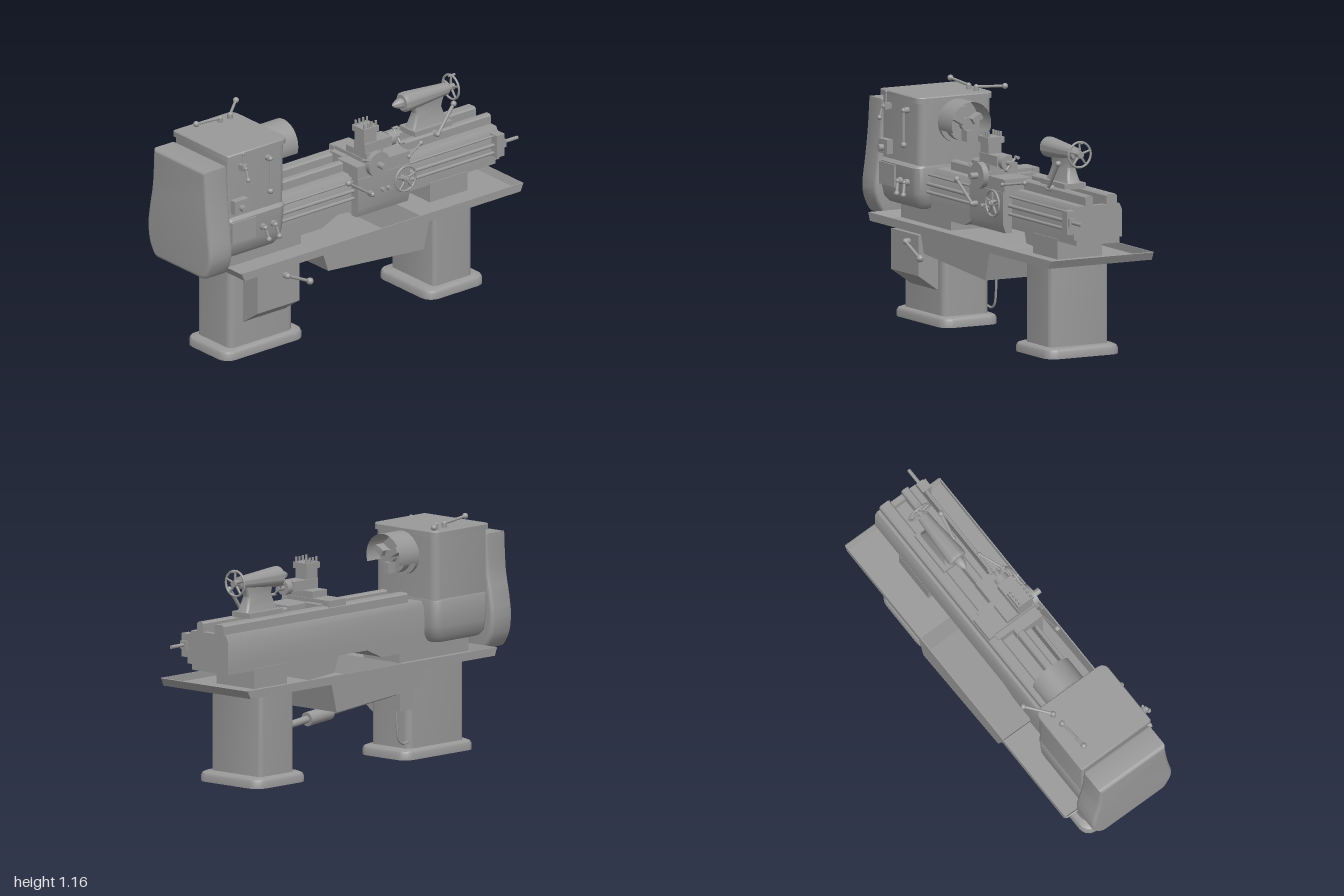
import * as THREE from 'three';
import { toCreasedNormals } from 'three/addons/utils/BufferGeometryUtils.js';

const V = (p) => new THREE.Vector3(...p);
const paint = new THREE.MeshStandardMaterial({ color: 0x999999 });
const sheet = new THREE.MeshStandardMaterial({ color: 0x999999, side: THREE.DoubleSide });

export function createModel() {
  const model = new THREE.Group();
  const add = (name, geo, mat = paint) => {
    const m = new THREE.Mesh(geo, mat);
    m.name = name;
    model.add(m);
    return m;
  };
  // box given by its limits
  const box = (name, x0, x1, y0, y1, z0, z1) =>
    add(name, new THREE.BoxGeometry(x1 - x0, y1 - y0, z1 - z0)
      .translate((x0 + x1) / 2, (y0 + y1) / 2, (z0 + z1) / 2));
  // round bar between two points
  const rod = (name, a, b, r, n = 20) => {
    const d = V(b).sub(V(a));
    const m = add(name, new THREE.CylinderGeometry(r, r, d.length(), n));
    m.position.copy(V(a)).addScaledVector(d, 0.5);
    m.quaternion.setFromUnitVectors(new THREE.Vector3(0, 1, 0), d.normalize());
  };
  const ball = (name, p, r) => add(name, new THREE.SphereGeometry(r, 16, 12).translate(...p));
  const lever = (name, a, b, r = 0.007, knob = 0.015) => {
    rod(name, a, b, r);
    ball(name + 'Hub', a, knob * 0.85);
    ball(name + 'Knob', b, knob);
  };
  // [z, y] profile swept along x
  const prismX = (name, pts, x0, x1, bevel = 0) => {
    const s = new THREE.Shape(pts.map(([z, y]) => new THREE.Vector2(-z, y)));
    const g = new THREE.ExtrudeGeometry(s, { depth: x1 - x0 - 2 * bevel, bevelEnabled: bevel > 0,
      bevelSize: bevel, bevelThickness: bevel, bevelOffset: -bevel, bevelSegments: 5 });
    add(name, toCreasedNormals(g.rotateY(Math.PI / 2).translate(x0 + bevel, 0, 0), 0.6));
  };
  // [x, y] profile swept along z
  const prismZ = (name, pts, z0, z1) => {
    const s = new THREE.Shape(pts.map(([x, y]) => new THREE.Vector2(x, y)));
    add(name, new THREE.ExtrudeGeometry(s, { depth: z1 - z0, bevelEnabled: false }).translate(0, 0, z0));
  };
  // stacked rounded rectangles: rows of [y, x0, x1, z0, z1, right corner radius, left corner radius]
  const loft = (name, rows) => {
    const pos = [], idx = [], k = 6, n = k * 4;
    for (const [y, x0, x1, z0, z1, rr, rl = rr] of rows)
      for (let c = 0; c < 4; c++)
        for (let i = 0; i < k; i++) {
          const a = (c + i / (k - 1)) * Math.PI / 2, right = c === 0 || c === 3, r = right ? rr : rl;
          const cx = right ? x1 - r : x0 + r, cz = c < 2 ? z1 - r : z0 + r;
          pos.push(cx + r * Math.cos(a), y, cz + r * Math.sin(a));
        }
    const top = (rows.length - 1) * n;
    for (let i = 0; i < rows.length - 1; i++)
      for (let j = 0; j < n; j++) {
        const a = i * n + j, b = i * n + (j + 1) % n;
        idx.push(a, a + n, b, b, a + n, b + n);
      }
    for (let j = 1; j < n - 1; j++) idx.push(0, j, j + 1, top, top + j + 1, top + j);
    const g = new THREE.BufferGeometry();
    g.setAttribute('position', new THREE.Float32BufferAttribute(pos, 3));
    g.setIndex(idx);
    add(name, toCreasedNormals(g, 0.65));
  };
  // five-spoked handwheel, axis along z, or along x when sideways
  const wheel = (name, p, r, sideways) => {
    const g = new THREE.Group();
    g.name = name;
    g.add(new THREE.Mesh(new THREE.TorusGeometry(r - 0.006, 0.006, 10, 36), paint));
    g.add(new THREE.Mesh(new THREE.CylinderGeometry(0.017, 0.017, 0.03, 18).rotateX(Math.PI / 2), paint));
    for (let i = 0; i < 5; i++) {
      const s = new THREE.Mesh(new THREE.CylinderGeometry(0.005, 0.007, r - 0.01, 8).translate(0, r / 2, 0), paint);
      s.rotation.z = i * 2 * Math.PI / 5;
      g.add(s);
    }
    g.children.forEach((m, i) => { m.name = name + (i ? 'Part' + i : 'Rim'); });
    g.position.set(...p);
    if (sideways) g.rotation.y = Math.PI / 2;
    model.add(g);
  };

  // pedestals with rounded feet; the left one is shallower
  for (const [name, x0, x1, f0, f1, z, f, r] of [['left', -0.785, -0.385, -0.835, -0.33, 0.13, 0.16, 0.035],
    ['right', 0.465, 0.71, 0.405, 0.77, 0.165, 0.205, 0.025]]) {
    loft(name + 'Pedestal', [[0.03, x0, x1, -z, z, r], [0.48, x0, x1, -z, z, r]]);
    loft(name + 'Foot', [[0, f0, f1, -f, f, 0.06], [0.03, f0, f1, -f, f, 0.06],
      [0.042, f0 + 0.006, f1 - 0.006, 0.006 - f, f - 0.006, 0.055],
      [0.05, f0 + 0.022, f1 - 0.022, 0.022 - f, f - 0.022, 0.05]]);
  }
  prismX('frontCabinet', [[0.1, 0.45], [0.24, 0.45], [0.24, 0.25], [0.12, 0.165], [0.1, 0.165]], -0.705, -0.44);

  // chip tray with a sump in the middle
  const floor = [[-0.825, 0.48], [-0.33, 0.48], [-0.3, 0.39], [0.3, 0.34], [0.335, 0.48], [0.91, 0.48]];
  const under = floor.map(([x, y]) => [x, y - 0.006]);
  prismZ('trayFloor', [[-0.84, 0.515], ...floor, [0.925, 0.515], [0.93, 0.513], ...[...under].reverse(),
    [-0.845, 0.513]], -0.287, 0.287);
  for (const z of [-0.29, 0.284]) prismZ('traySide', [[-0.842, 0.515], ...under, [0.927, 0.515]], z, z + 0.006);

  // bed casting, ways and riser
  box('rightRiser', 0.475, 0.71, 0.475, 0.58, -0.125, 0.125);
  prismZ('bedWeb', [[-0.82, 0.48], [-0.33, 0.48], [-0.33, 0.525], [-0.2, 0.525], [-0.1, 0.57], [0.89, 0.57],
    [0.89, 0.7], [-0.82, 0.7]], -0.12, 0.12);
  prismX('bedBody', [[0.14, 0.6], [0.14, 0.725], [0.115, 0.765], [0.04, 0.765], [0.04, 0.72], [-0.04, 0.72],
    [-0.04, 0.765], [-0.115, 0.765], [-0.128, 0.735], [-0.128, 0.6]], -0.5, 0.9);
  for (const [z0, z1] of [[-0.1, -0.04], [0.035, 0.075]])
    prismX('bedWay', [[z0, 0.76], [z0, 0.805], [z0 + 0.008, 0.813], [z1 - 0.008, 0.813], [z1, 0.805], [z1, 0.76]], -0.41, 0.9);
  box('bedEndBlock', 0.87, 0.9, 0.6, 0.765, -0.115, 0.115);
  rod('leadScrew', [-0.51, 0.69, 0.155], [1, 0.69, 0.155], 0.009);
  rod('feedRod', [-0.51, 0.65, 0.155], [0.88, 0.65, 0.155], 0.008);
  rod('controlRod', [-0.51, 0.735, 0.15], [0.88, 0.735, 0.15], 0.006);
  box('rodBracket', 0.85, 0.9, 0.63, 0.745, 0.12, 0.18);
  box('rodBracketLug', 0.89, 0.915, 0.67, 0.71, 0.135, 0.175);

  // headstock, lower gearbox and end cover
  loft('headstock', [[0.74, -0.855, -0.495, -0.205, 0.2, 0.04, 0.01], [1.09, -0.855, -0.49, -0.205, 0.2, 0.04, 0.01]]);
  loft('headstockLid', [[1.085, -0.865, -0.485, -0.213, 0.213, 0.04, 0.01], [1.11, -0.865, -0.485, -0.213, 0.213, 0.04, 0.01],
    [1.115, -0.861, -0.489, -0.209, 0.209, 0.036, 0.008]]);
  loft('gearbox', [[0.555, -0.855, -0.56, -0.15, 0.15, 0.03], [0.565, -0.855, -0.53, -0.18, 0.18, 0.04],
    [0.59, -0.857, -0.51, -0.198, 0.2, 0.05, 0.02], [0.64, -0.857, -0.5, -0.208, 0.212, 0.05, 0.02],
    [0.765, -0.857, -0.492, -0.212, 0.218, 0.05, 0.02], [0.78, -0.855, -0.495, -0.204, 0.2, 0.045, 0.01]]);
  const curve = (pts) => new THREE.SplineCurve(pts.map((p) => new THREE.Vector2(...p))).getPoints(24).map((p) => [p.x, p.y]);
  const coverFront = curve([[0.2, 1.06], [0.21, 0.9], [0.225, 0.76], [0.24, 0.64], [0.232, 0.57], [0.2, 0.505], [0.17, 0.49]]);
  const coverBack = curve([[-0.2, 1.06], [-0.21, 0.88], [-0.232, 0.76], [-0.245, 0.66], [-0.235, 0.57], [-0.2, 0.505], [-0.17, 0.49]]);
  prismX('endCover', [...coverFront, ...coverBack.reverse()], -1, -0.855, 0.02);

  // spindle, chuck and curved guard
  rod('spindleFlange', [-0.495, 0.985, 0], [-0.474, 0.985, 0], 0.1, 40);
  rod('spindleNose', [-0.48, 0.985, 0], [-0.44, 0.985, 0], 0.06, 32);
  rod('chuckPlate', [-0.45, 0.985, 0], [-0.41, 0.985, 0], 0.085, 32);
  rod('chuckHub', [-0.41, 0.985, 0], [-0.385, 0.985, 0], 0.03, 24);
  for (let i = 0; i < 3; i++) {
    const jaw = add('chuckJaw', new THREE.BoxGeometry(0.06, 0.055, 0.03).translate(-0.39, 0.055, 0));
    jaw.position.y = 0.985;
    jaw.rotation.x = Math.PI + i * 2 * Math.PI / 3;
  }
  const deg = Math.PI / 180;
  const guard = new THREE.CylinderGeometry(0.11, 0.11, 0.135, 40, 1, true, -200 * deg, 219 * deg);
  add('chuckGuard', guard.rotateZ(-Math.PI / 2).translate(-0.4075, 0.99, 0), sheet);
  const ring = new THREE.RingGeometry(0.07, 0.11, 40, 1, -20 * deg, 219 * deg);
  add('guardBack', ring.rotateY(Math.PI / 2).translate(-0.472, 0.99, 0), sheet);

  // headstock controls
  for (const [a, b] of [[[-0.62, 1.135, -0.145], [-0.78, 1.15, -0.135]], [[-0.555, 1.135, -0.15], [-0.44, 1.147, -0.245]]]) {
    rod('topLeverPost', [a[0], 1.11, a[2]], a, 0.014);
    lever('topLever', a, b);
  }
  rod('speedLeverPost', [-0.61, 1.04, 0.19], [-0.61, 1.04, 0.225], 0.015);
  lever('speedLever', [-0.61, 1.04, 0.225], [-0.61, 0.87, 0.225], 0.008);
  rod('clutchPost', [-0.78, 1.04, 0.19], [-0.78, 1.04, 0.25], 0.013);
  box('clutchBlock', -0.795, -0.765, 1.025, 1.055, 0.205, 0.24);
  lever('clutchLever', [-0.78, 1.11, 0.225], [-0.78, 1.04, 0.225], 0.004, 0.008);
  lever('clutchHandle', [-0.78, 1.04, 0.245], [-0.78, 0.985, 0.262], 0.006, 0.012);
  box('switchPlate', -0.84, -0.755, 0.805, 0.875, 0.19, 0.235);
  rod('switchKnob', [-0.797, 0.835, 0.23], [-0.797, 0.835, 0.26], 0.016);
  box('chartPlate', -0.85, -0.7, 0.65, 0.76, 0.2, 0.226);
  for (const x of [-0.65, -0.585]) {
    rod('feedLeverPost', [x, 0.69, 0.2], [x, 0.69, 0.235], 0.017);
    lever('feedLever', [x, 0.69, 0.235], [x + 0.012, 0.63, 0.248], 0.008, 0.014);
  }

  // carriage: saddle, apron and cross slide
  box('saddle', -0.03, 0.3, 0.755, 0.82, 0.03, 0.185);
  box('saddleBridge', 0.0, 0.18, 0.765, 0.822, -0.06, 0.04);
  prismX('apron', [[0.14, 0.555], [0.175, 0.555], [0.19, 0.6], [0.19, 0.757], [0.14, 0.757]], -0.03, 0.295);
  box('crossSlideWay', 0.03, 0.145, 0.8, 0.84, -0.097, 0.19);
  box('crossSlideEnd', 0.025, 0.15, 0.765, 0.838, -0.097, -0.06);
  box('crossSlide', 0.035, 0.14, 0.835, 0.872, 0.02, 0.175);
  rod('crossDial', [0.085, 0.815, 0.185], [0.085, 0.815, 0.215], 0.065, 36);
  rod('crossHub', [0.085, 0.815, 0.21], [0.085, 0.815, 0.255], 0.016);
  rod('crossHandle', [0.03, 0.845, 0.2], [-0.012, 0.86, 0.2], 0.006);
  wheel('apronHandwheel', [0.245, 0.7, 0.22], 0.07, false);
  rod('apronShaft', [0.245, 0.7, 0.18], [0.245, 0.7, 0.245], 0.012);
  rod('apronLeverPost', [0.04, 0.67, 0.18], [0.04, 0.67, 0.215], 0.014);
  lever('apronLever', [0.04, 0.67, 0.215], [-0.11, 0.77, 0.215]);
  lever('lockLever', [0.29, 0.795, 0.19], [0.41, 0.815, 0.135], 0.006, 0.012);
  for (const x of [0.12, 0.155]) rod('apronButton', [x, 0.67, 0.185], [x, 0.67, 0.215], 0.011);

  // compound slide and tool post
  box('compoundSlide', 0.03, 0.2, 0.87, 0.92, 0.085, 0.17);
  rod('compoundScrew', [0.2, 0.89, 0.128], [0.275, 0.89, 0.128], 0.012);
  rod('compoundDial', [0.2, 0.89, 0.128], [0.235, 0.89, 0.128], 0.036, 28);
  rod('compoundCrank', [0.265, 0.92, 0.1], [0.265, 0.86, 0.155], 0.006);
  for (const [y, z] of [[0.92, 0.1], [0.86, 0.155]]) rod('compoundGrip', [0.26, y, z], [0.29, y, z], 0.008);
  box('toolPost', 0.03, 0.108, 0.92, 0.975, 0.09, 0.163);
  box('toolPostTop', 0.022, 0.117, 0.97, 1.0, 0.08, 0.172);
  for (const x of [0.034, 0.058, 0.082, 0.106])
    for (const z of [0.093, 0.16]) rod('toolBolt', [x, 1.0, z], [x, 1.025, z], 0.006, 8);

  // tailstock
  box('tailstockBase', 0.435, 0.67, 0.81, 0.838, -0.06, 0.06);
  loft('tailstockBody', [[0.835, 0.445, 0.665, -0.038, 0.038, 0.012], [0.865, 0.46, 0.65, -0.032, 0.032, 0.012],
    [0.91, 0.475, 0.635, -0.024, 0.024, 0.012], [0.94, 0.465, 0.645, -0.022, 0.022, 0.012],
    [0.98, 0.425, 0.665, -0.02, 0.02, 0.012]]);
  const barrel = [[0, 0.34], [0.012, 0.35], [0.024, 0.375], [0.024, 0.4], [0.04, 0.4], [0.05, 0.41], [0.05, 0.43],
    [0.03, 0.68], [0.014, 0.685], [0.014, 0.725], [0, 0.725]].map(([r, x]) => new THREE.Vector2(r, x));
  add('tailstockBarrel', toCreasedNormals(new THREE.LatheGeometry(barrel, 32).rotateZ(-Math.PI / 2), 0.6))
    .position.y = 0.985;
  wheel('tailstockHandwheel', [0.71, 0.985, 0], 0.068, true);
  rod('handwheelGrip', [0.695, 1.045, 0], [0.735, 1.045, 0], 0.006);
  rod('clampPost', [0.555, 0.805, 0.04], [0.555, 0.805, 0.085], 0.016);
  lever('clampLever', [0.555, 0.805, 0.088], [0.655, 0.94, 0.088], 0.009);

  // brake box, drive shaft and hose under the back of the tray
  const zs = -0.12;
  box('brakeBox', -0.385, -0.29, 0.25, 0.37, zs - 0.04, zs + 0.04);
  rod('driveShaft', [-0.29, 0.34, zs], [0.18, 0.297, zs], 0.016);
  rod('shaftSleeve', [0.17, 0.298, zs], [0.33, 0.284, zs], 0.035, 28);
  rod('shaftEnd', [0.33, 0.284, zs], [0.47, 0.27, zs], 0.018);
  rod('cabinetLeverPost', [-0.53, 0.41, 0.23], [-0.53, 0.41, 0.26], 0.016);
  lever('cabinetLever', [-0.53, 0.41, 0.26], [-0.39, 0.345, 0.26], 0.008, 0.018);
  const hose = new THREE.CatmullRomCurve3([[-0.31, 0.26, zs], [-0.31, 0.18, zs], [-0.325, 0.1, zs],
    [-0.355, 0.08, zs], [-0.39, 0.085, zs]].map(V));
  add('hose', new THREE.TubeGeometry(hose, 30, 0.006, 8));
  return model;
}
